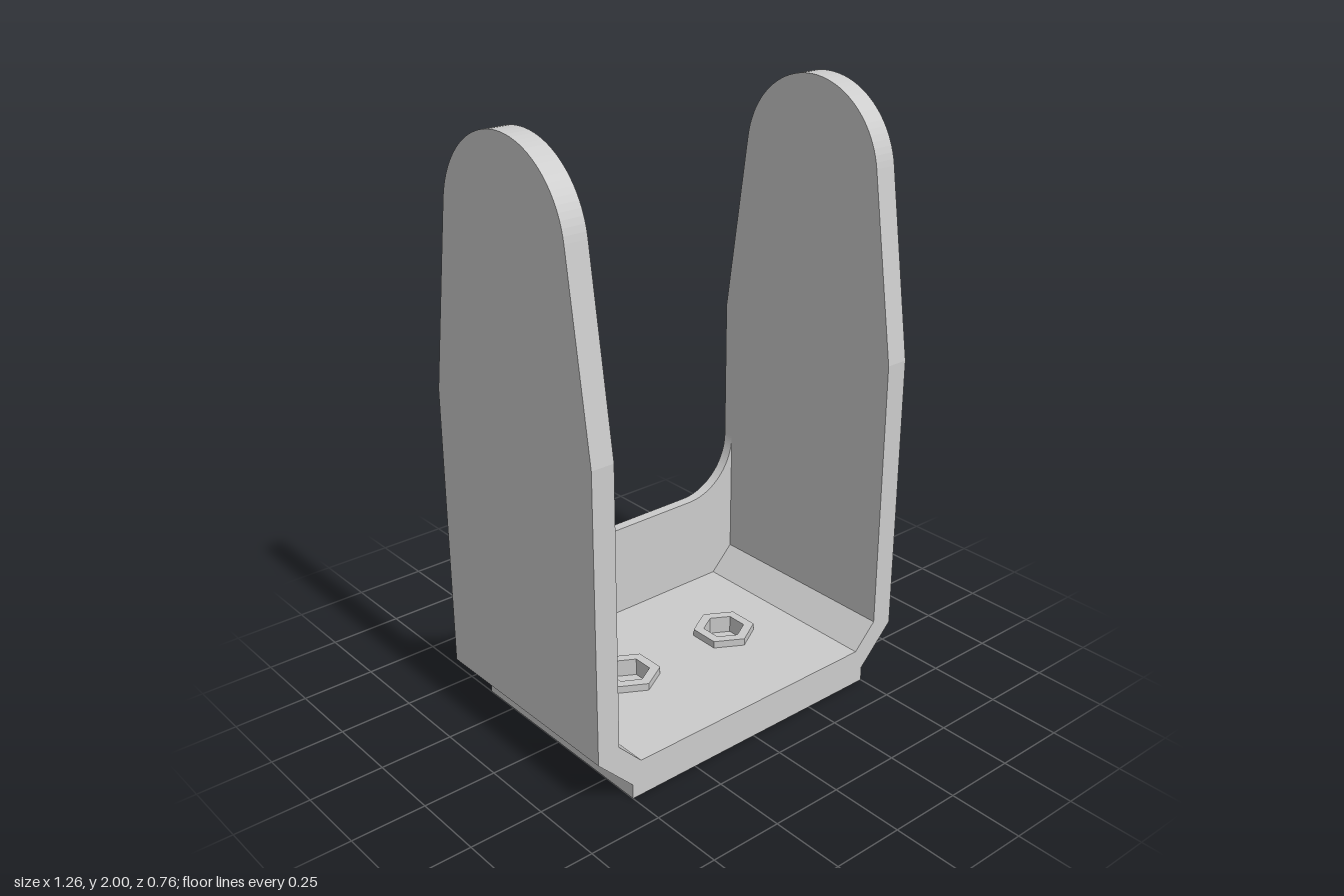
import * as THREE from 'three';

const HALF_DEPTH = 0.38, INNER_X = 0.55, OUTER_X = 0.628;
const FLOOR_Y = 0.125, POCKET_Y = 0.09, NUT_TOP = 0.15, WALL_Y = 0.21;
const SCREW_X = [-0.21, 0.21];

export function createModel() {
  const model = new THREE.Group();
  model.name = 'uBracket';
  const material = new THREE.MeshStandardMaterial({ color: 0xcccccc });

  const add = (name, geometry) => {
    const mesh = new THREE.Mesh(geometry, material);
    mesh.name = name;
    model.add(mesh);
  };
  const extrude = (shape, depth) =>
    new THREE.ExtrudeGeometry(shape, { depth, bevelEnabled: false, curveSegments: 20 });
  const polygon = (points) => new THREE.Shape(points.map(([x, y]) => new THREE.Vector2(x, y)));
  // Hexagon with its corners pointing front and back
  const hexagon = (x, r) => Array.from({ length: 6 }, (_, i) => {
    const a = Math.PI / 2 + i * Math.PI / 3;
    return new THREE.Vector2(x + r * Math.cos(a), r * Math.sin(a));
  });
  // Horizontal slab between two heights
  const slab = (name, shape, y0, y1) =>
    add(name, extrude(shape, y1 - y0).rotateX(-Math.PI / 2).translate(0, y0, 0));
  const plate = () => polygon([
    [-0.5, -HALF_DEPTH], [0.5, -HALF_DEPTH], [0.5, HALF_DEPTH], [-0.5, HALF_DEPTH],
  ]);

  // Base plate: round screw holes below, hexagonal nut pockets above
  const lower = plate(), upper = plate();
  for (const x of SCREW_X) {
    lower.holes.push(new THREE.Path().absarc(x, 0, 0.029, 0, Math.PI * 2, true));
    upper.holes.push(new THREE.Path(hexagon(x, 0.07)));
  }
  slab('basePlateLower', lower, 0, POCKET_Y);
  slab('basePlateUpper', upper, POCKET_Y, FLOOR_Y);

  // Raised hexagonal collars around the pockets
  for (const x of SCREW_X) {
    const ring = new THREE.Shape(hexagon(x, 0.105));
    ring.holes.push(new THREE.Path(hexagon(x, 0.07)));
    slab('nutCollar', ring, FLOOR_Y, NUT_TOP);
  }

  // Tapered arm outline with a rounded top (z, y)
  const r = 0.29, tilt = 0.15;
  const arm = new THREE.Shape();
  arm.moveTo(-HALF_DEPTH, WALL_Y);
  arm.lineTo(HALF_DEPTH, WALL_Y);
  arm.lineTo(HALF_DEPTH, 1.14);
  arm.absarc(0, 2 - r, r, tilt, Math.PI - tilt, false);
  arm.lineTo(-HALF_DEPTH, 1.14);
  arm.closePath();

  for (const side of [-1, 1]) {
    const name = side > 0 ? 'left' : 'right';
    add(name + 'Arm', extrude(arm, OUTER_X - INNER_X).rotateY(Math.PI / 2)
      .translate(side > 0 ? INNER_X : -OUTER_X, 0, 0));

    // Chamfered corner joining the arm to the base
    const corner = [[0.5, 0.05], [OUTER_X, 0.18], [OUTER_X, WALL_Y],
      [INNER_X, WALL_Y], [0.467, FLOOR_Y], [0.5, FLOOR_Y]];
    add(name + 'Corner', extrude(polygon(corner.map(([x, y]) => [side * x, y])), 2 * HALF_DEPTH)
      .translate(0, 0, -HALF_DEPTH));
  }

  // Low back wall with rounded transitions into the arms
  const back = new THREE.Shape();
  back.moveTo(-0.467, FLOOR_Y);
  back.lineTo(0.467, FLOOR_Y);
  back.lineTo(INNER_X, WALL_Y);
  back.lineTo(INNER_X, 0.65);
  back.absarc(INNER_X - 0.2, 0.65, 0.2, 0, -Math.PI / 2, true);
  back.absarc(-INNER_X + 0.2, 0.65, 0.2, -Math.PI / 2, -Math.PI, true);
  back.lineTo(-INNER_X, WALL_Y);
  back.closePath();
  add('backWall', extrude(back, 0.037).translate(0, 0, -HALF_DEPTH));

  return model;
}
